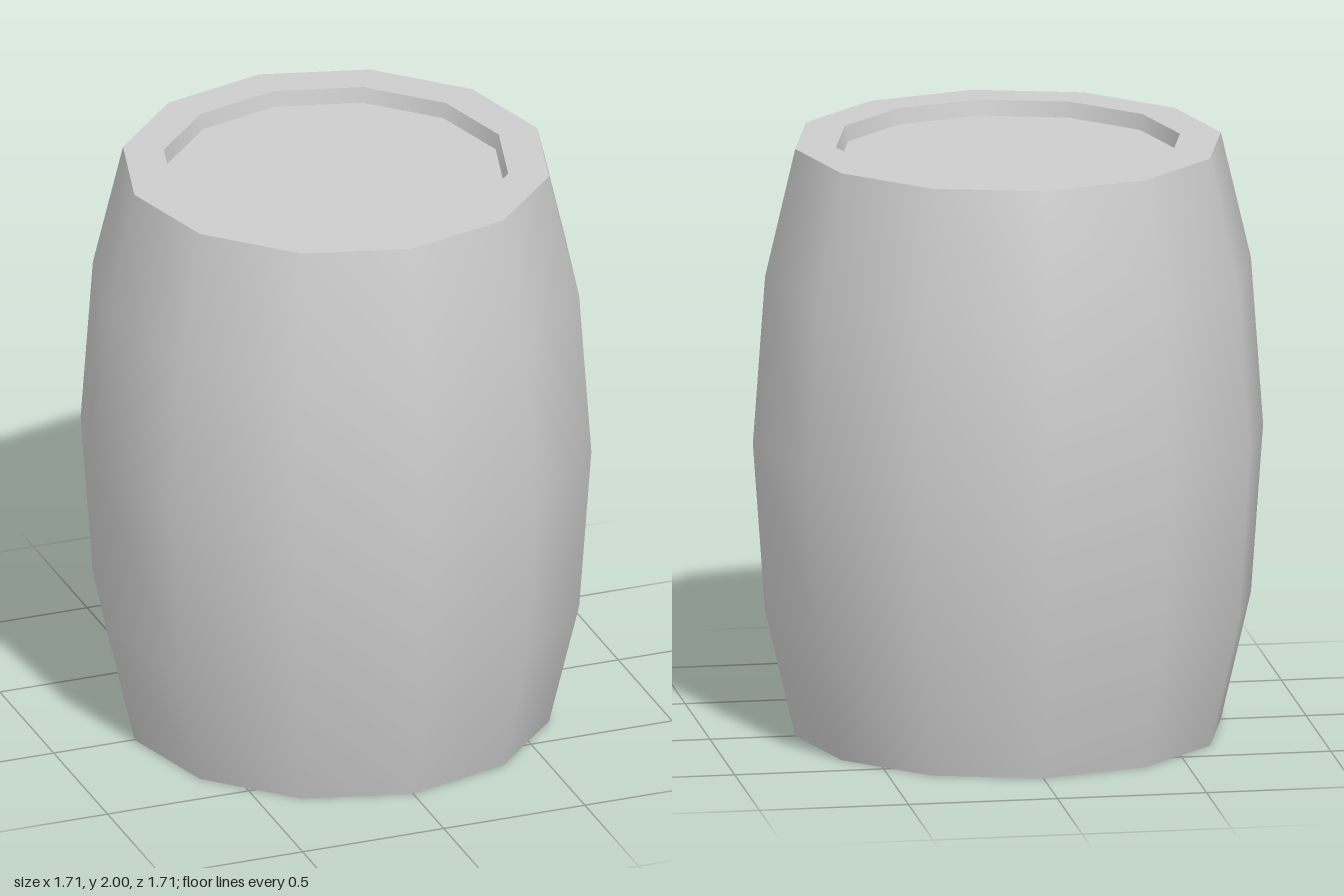
import * as THREE from 'three';

const SIDES = 12;

export function createModel() {
  const barrel = new THREE.Group();
  barrel.name = 'barrel';

  const grey = new THREE.MeshStandardMaterial({ color: 0xcccccc });
  grey.name = 'light grey';

  const add = (name, geometry, parent) => {
    const mesh = new THREE.Mesh(geometry, grey);
    mesh.name = name;
    parent.add(mesh);
    return mesh;
  };
  const lathe = (profile) =>
    new THREE.LatheGeometry(profile.map(([r, y]) => new THREE.Vector2(r, y)), SIDES);

  // Bulging side wall, smooth around twelve sides
  add('sideWall', lathe([[0.714, 0], [0.815, 0.43], [0.856, 1], [0.815, 1.57], [0.714, 2]]), barrel);

  // Both ends: flat rim, tapered lip and sunken head
  for (const [name, side] of [['topEnd', 1], ['bottomEnd', -1]]) {
    const end = new THREE.Group();
    end.name = name;
    add('rim', lathe([[0.714, 1], [0.577, 1]]), end);
    add('innerLip', lathe([[0.577, 1], [0.566, 0.948]]), end);
    const head = add('head', new THREE.CircleGeometry(0.566, SIDES), end);
    head.rotation.x = -Math.PI / 2;
    head.position.y = 0.948;
    // Turning the end over keeps its faces pointing outward
    if (side < 0) end.rotation.x = Math.PI;
    end.position.y = 1;
    barrel.add(end);
  }

  return barrel;
}
